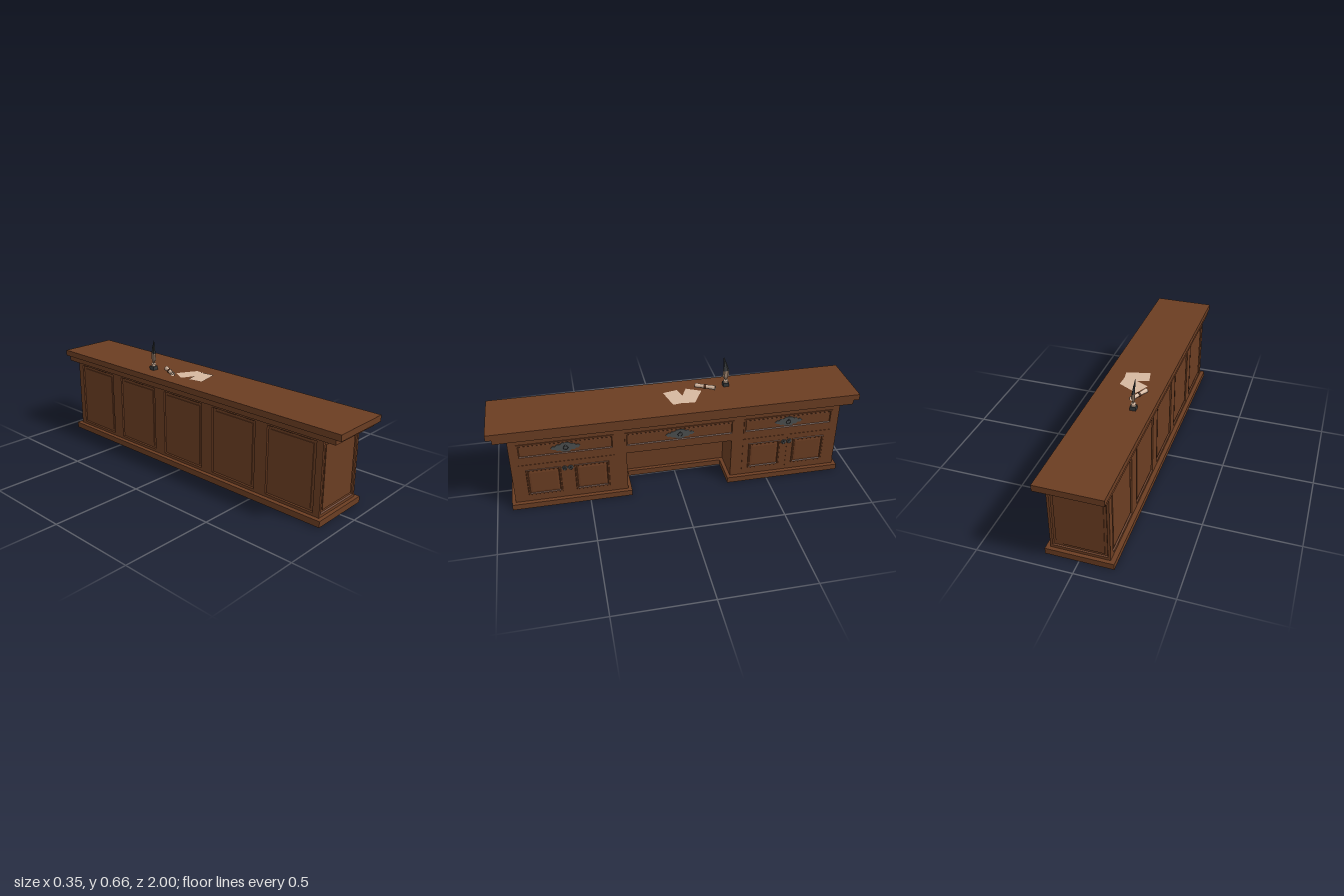
import * as THREE from 'three';

const mat = (name, color, extra = {}) => Object.assign(new THREE.MeshStandardMaterial({ color, ...extra }), { name });

export function createModel() {
  const root = new THREE.Group();
  root.name = 'desk';
  const wood = mat('wood', 0x6b3d22);
  const iron = mat('iron', 0x4c4f50);
  const dark = mat('dark iron', 0x2b2c2d);
  const paper = mat('paper', 0xd6b8a0, { side: THREE.DoubleSide });
  const ribbon = mat('ribbon', 0x4a2815);
  const quillTan = mat('quill', 0x9a806c, { flatShading: true });
  const inkDark = mat('ink', 0x35383a, { flatShading: true });

  const add = (parent, name, geo, material, x = 0, y = 0, z = 0) => {
    const m = new THREE.Mesh(geo, material);
    m.name = name;
    m.position.set(x, y, z);
    parent.add(m);
    return m;
  };
  // box given by its limits
  const box = (name, x0, x1, y0, y1, z0, z1, m = wood) =>
    add(root, name, new THREE.BoxGeometry(x1 - x0, y1 - y0, z1 - z0), m, (x0 + x1) / 2, (y0 + y1) / 2, (z0 + z1) / 2);
  const rect = (T, w, h, cx = 0, cy = 0) => {
    const s = new T();
    s.moveTo(cx - w / 2, cy - h / 2);
    s.lineTo(cx + w / 2, cy - h / 2);
    s.lineTo(cx + w / 2, cy + h / 2);
    s.lineTo(cx - w / 2, cy + h / 2);
    s.closePath();
    return s;
  };
  // rectangular moulding facing +z: loops of [inset, depth], the last one is filled
  const panelGeo = (w, h, steps) => {
    const pos = [];
    const ring = ([i, d]) => [[-1, -1], [1, -1], [1, 1], [-1, 1]].map(([a, b]) => [a * (w / 2 - i), b * (h / 2 - i), d]);
    const quad = (a, b, c, d) => pos.push(...a, ...b, ...c, ...a, ...c, ...d);
    for (let s = 0; s < steps.length - 1; s++) {
      const o = ring(steps[s]), n = ring(steps[s + 1]);
      for (let k = 0; k < 4; k++) quad(o[k], o[(k + 1) % 4], n[(k + 1) % 4], n[k]);
    }
    quad(...ring(steps[steps.length - 1]));
    const g = new THREE.BufferGeometry();
    g.setAttribute('position', new THREE.Float32BufferAttribute(pos, 3));
    g.computeVertexNormals();
    return g;
  };

  // U-shaped plan (x, z) extruded upwards, open towards +x
  const uBlock = (name, x0, x1, zMax, xIn, zIn, y0, y1) => {
    const pts = [[x0, -zMax], [x1, -zMax], [x1, -zIn], [xIn, -zIn], [xIn, zIn], [x1, zIn], [x1, zMax], [x0, zMax]];
    const s = new THREE.Shape(pts.map(([x, z]) => new THREE.Vector2(x, -z)));
    const m = add(root, name, new THREE.ExtrudeGeometry(s, { depth: y1 - y0, bevelEnabled: false }), wood, 0, y0);
    m.rotation.x = -Math.PI / 2;
  };
  uBlock('plinth', -0.177, 0.175, 0.92, 0, 0.27, 0, 0.033);
  uBlock('pedestals', -0.143, 0.153, 0.89, -0.02, 0.29, 0.033, 0.272);
  box('upperBody', -0.143, 0.153, 0.272, 0.432, -0.89, 0.89);
  box('cornice', -0.165, 0.164, 0.43, 0.458, -0.97, 0.97);
  box('top', -0.171, 0.169, 0.458, 0.491, -1, 1);

  // framed walls with recessed panels
  const wall = (name, width, centers, pw, x, z, turn) => {
    const g = new THREE.Group();
    g.name = name;
    const h = 0.399, ph = 0.368;
    const frame = rect(THREE.Shape, width, h);
    for (const c of centers) frame.holes.push(rect(THREE.Path, pw, ph, c, 0));
    add(g, 'frame', new THREE.ExtrudeGeometry(frame, { depth: 0.01, bevelEnabled: false }), wood, 0, 0, -0.01);
    for (const c of centers) add(g, 'panel', panelGeo(pw, ph, [[0, 0], [0.004, -0.007], [0.017, -0.007], [0.017, -0.003]]), wood, c);
    g.position.set(x, 0.2325, z);
    g.rotation.y = turn;
    root.add(g);
  };
  wall('leftEnd', 0.306, [0], 0.28, 0, 0.9, 0);
  wall('rightEnd', 0.306, [0], 0.28, 0, -0.9, Math.PI);
  wall('backWall', 1.8, [-0.72, -0.36, 0, 0.36, 0.72], 0.285, -0.153, 0, -Math.PI / 2);

  // front fittings live in a group whose +z is the working side (local x = -z)
  const front = new THREE.Group();
  front.name = 'front';
  front.rotation.y = Math.PI / 2;
  front.position.x = 0.153;
  root.add(front);

  // ornamental pull plate outline
  const plate = new THREE.Shape();
  const half = [[-0.078, 0], [-0.066, 0.011], [-0.054, 0.009], [-0.045, 0.019], [-0.03, 0.018], [-0.02, 0.026], [0, 0.029]];
  const upper = [...half, ...half.slice(0, -1).reverse().map(([x, y]) => [-x, y])];
  const lower = upper.slice(1, -1).reverse().map(([x, y]) => [x, -y]);
  plate.setFromPoints([...upper, ...lower].map(([x, y]) => new THREE.Vector2(x, y)));
  const plateGeo = new THREE.ExtrudeGeometry(plate, { depth: 0.003, bevelEnabled: false });

  for (const [x, w] of [[-0.607, 0.505], [0, 0.595], [0.607, 0.505]]) {
    add(front, 'drawer', panelGeo(w, 0.088, [[0, 0], [0, 0.005], [0.009, 0.005], [0.013, 0.001], [0.016, 0.002]]), wood, x, 0.359);
    add(front, 'pullPlate', plateGeo, iron, x, 0.361, 0.002);
    add(front, 'pullRing', new THREE.TorusGeometry(0.012, 0.002, 6, 16), dark, x, 0.358, 0.006);
    add(front, 'pullBoss', new THREE.SphereGeometry(0.005, 10, 6), dark, x, 0.37, 0.005);
  }
  const disc = new THREE.CylinderGeometry(0.014, 0.015, 0.004, 12).rotateX(Math.PI / 2);
  for (const side of [-1, 1]) {
    for (const s of [-1, 1]) {
      const x = side * 0.607 + s * 0.128;
      add(front, 'door', panelGeo(0.248, 0.232, [[0, 0], [0, 0.002], [0.033, 0.002], [0.035, 0.004], [0.041, 0.004], [0.045, -0.0], [0.056, 0.002]]), wood, x, 0.156);
      const kx = side * 0.607 + s * 0.016;
      add(front, 'knobPlate', disc, iron, kx, 0.226, 0.003);
      add(front, 'knob', new THREE.SphereGeometry(0.005, 10, 6), dark, kx, 0.23, 0.005);
      add(front, 'knobRing', new THREE.TorusGeometry(0.008, 0.0012, 5, 12), dark, kx, 0.221, 0.006);
    }
  }

  // loose sheets: corner, width edge and depth edge in (x, z)
  const sheet = (pts, y) => {
    const s = new THREE.Shape(pts.map(([x, z]) => new THREE.Vector2(x, -z)));
    add(root, 'sheet', new THREE.ShapeGeometry(s), paper, 0, y).rotation.x = -Math.PI / 2;
  };
  sheet([[-0.04, -0.16], [0.07, -0.1], [0.065, -0.03], [-0.005, -0.045], [-0.08, -0.08]], 0.4925);
  sheet([[-0.073, -0.03], [0.06, -0.065], [0.073, 0.02], [-0.056, 0.052]], 0.494);

  // rolled scroll with ribbon
  const scroll = new THREE.Group();
  scroll.name = 'scroll';
  scroll.position.set(-0.064, 0.504, -0.187);
  scroll.rotation.y = Math.atan2(0.05, -0.1);
  root.add(scroll);
  const tube = (name, r0, r1, len, m, z, open) =>
    add(scroll, name, new THREE.CylinderGeometry(r0, r1, len, 12, 1, open).rotateX(Math.PI / 2), m, 0, 0, z);
  tube('roll', 0.0105, 0.0105, 0.104, paper, 0, true);
  tube('innerRoll', 0.006, 0.006, 0.1, paper, 0, false);
  tube('rollEnd', 0.0125, 0.0105, 0.03, paper, 0.042, true);
  tube('rollEnd', 0.0105, 0.0125, 0.03, paper, -0.042, true);
  tube('ribbonBand', 0.0125, 0.0125, 0.013, ribbon, 0, false);

  // inkwell
  box('inkwellBase', -0.09, -0.058, 0.491, 0.512, -0.322, -0.29, inkDark);
  const neck = [[0, 0.512], [0.014, 0.512], [0.009, 0.517], [0.013, 0.521], [0.013, 0.528], [0, 0.528]];
  add(root, 'inkwellNeck', new THREE.LatheGeometry(neck.map((p) => new THREE.Vector2(...p)), 8), paper, -0.074, 0, -0.306);

  // quill lofted through sections [y, x, z, half thickness, half width]
  const loft = (name, rows, m) => {
    const n = rows.length - 1;
    const g = new THREE.CylinderGeometry(1, 1, n, 6, n);
    const p = g.attributes.position;
    for (let i = 0; i < p.count; i++) {
      const [y, x, z, a, b] = rows[Math.round(p.getY(i) + n / 2)];
      p.setXYZ(i, x + p.getX(i) * a, y, z + p.getZ(i) * b);
    }
    g.computeVertexNormals();
    add(root, name, g, m);
  };
  loft('quillVane', [[0.526, -0.073, -0.306, 0.003, 0.004], [0.536, -0.073, -0.306, 0.005, 0.009],
    [0.55, -0.073, -0.305, 0.008, 0.018], [0.584, -0.073, -0.306, 0.007, 0.016]], quillTan);
  loft('quillTip', [[0.584, -0.073, -0.306, 0.007, 0.017], [0.62, -0.076, -0.301, 0.005, 0.011],
    [0.662, -0.08, -0.293, 0.001, 0.002]], inkDark);

  return root;
}
